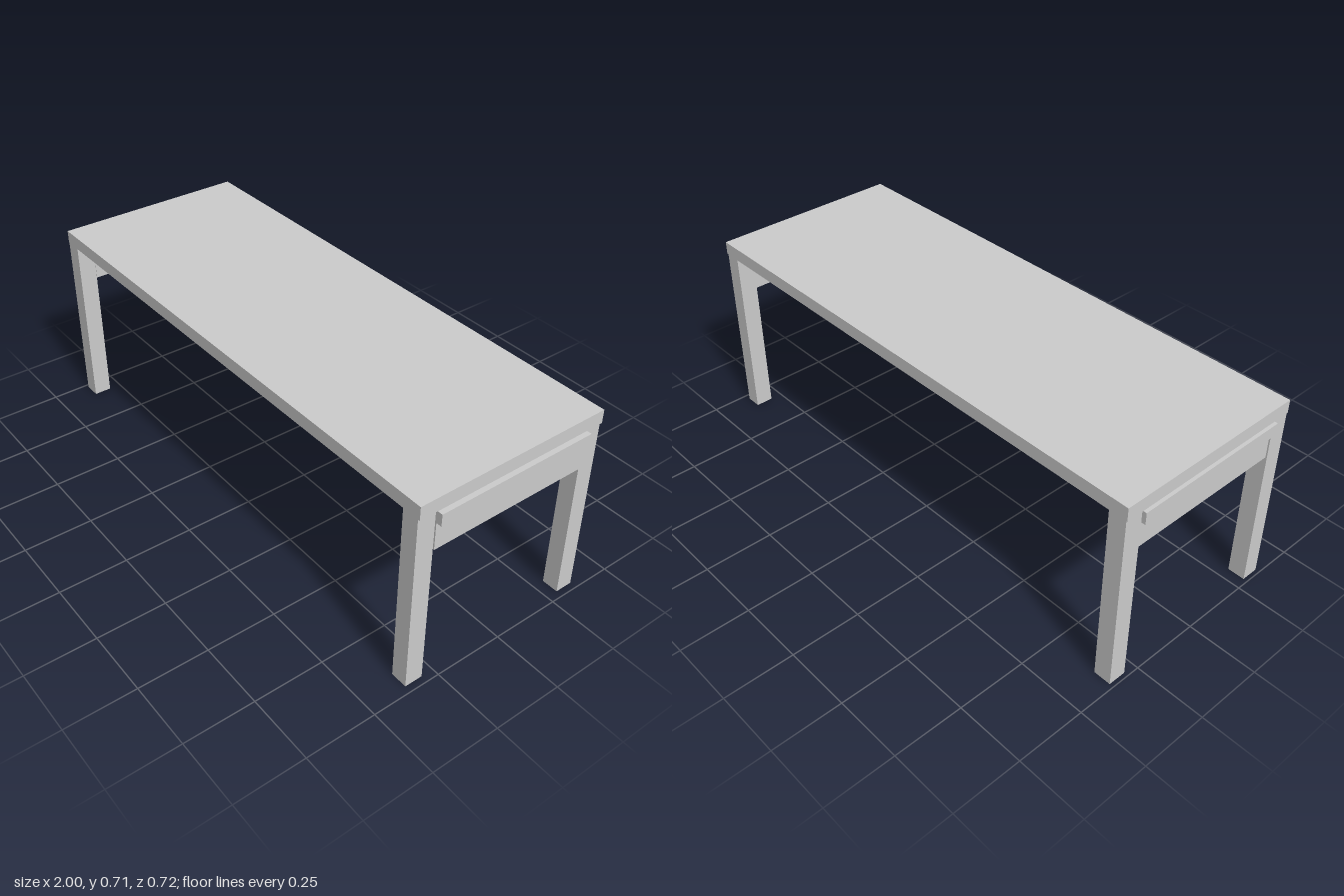
import * as THREE from 'three';

const grey = new THREE.MeshStandardMaterial({ color: 0xcccccc, flatShading: true });

// Box given by its lower and upper limits on each axis
function block(name, [x0, x1], [y0, y1], [z0, z1]) {
  const mesh = new THREE.Mesh(new THREE.BoxGeometry(x1 - x0, y1 - y0, z1 - z0), grey);
  mesh.position.set((x0 + x1) / 2, (y0 + y1) / 2, (z0 + z1) / 2);
  mesh.name = name;
  return mesh;
}

export function createModel() {
  const table = new THREE.Group();
  table.name = 'table';

  const underside = 0.66;
  const halfDepth = 0.36;
  const inner = 0.295; // inner face of the legs in z

  // Slab and the thinner panel fixed beneath it
  table.add(block('tableTop', [-0.988, 0.982], [underside, 0.708], [-halfDepth, halfDepth]));
  table.add(block('underPanel', [-0.92, 0.915], [0.626, underside], [-inner, inner]));

  // Each end: two legs, a deep apron between them and a slim projecting rail
  const ends = [
    { side: 'right', leg: [-0.985, -0.922], apron: [-0.98, -0.92], rail: [-1, -0.98] },
    { side: 'left', leg: [0.915, 0.975], apron: [0.915, 0.98], rail: [0.98, 1] },
  ];
  for (const { side, leg, apron, rail } of ends) {
    const end = new THREE.Group();
    end.name = `${side}End`;
    end.add(block('frontLeg', leg, [0, underside], [inner, halfDepth]));
    end.add(block('backLeg', leg, [0, underside], [-halfDepth, -inner]));
    end.add(block('apron', apron, [0.518, underside], [-inner, inner]));
    end.add(block('rail', rail, [0.617, underside], [-inner, inner]));
    table.add(end);
  }
  return table;
}
